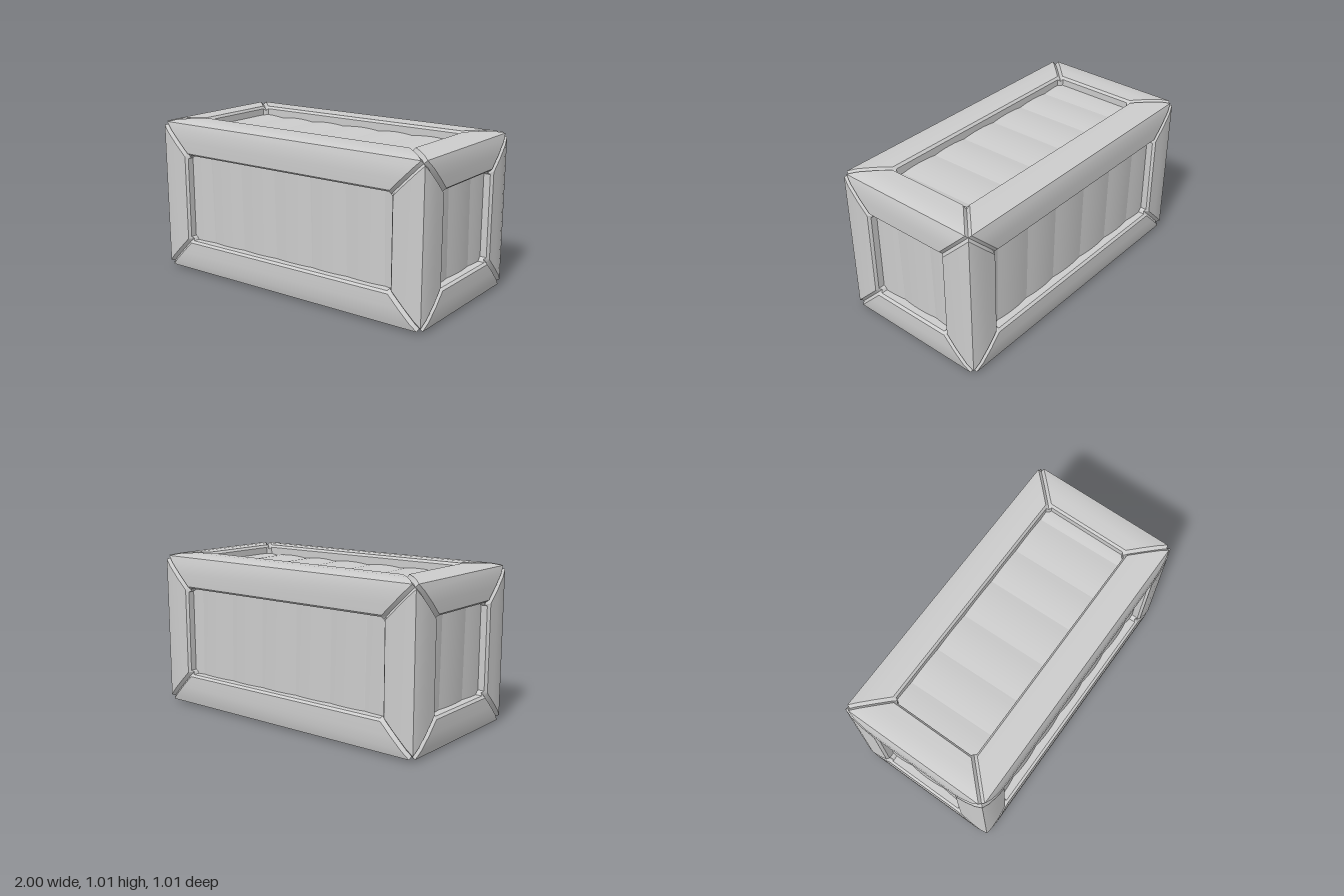
import * as THREE from 'three';
import { toCreasedNormals } from 'three/addons/utils/BufferGeometryUtils.js';

const HALF = [1, 0.506, 0.506]; // half sizes of the crate

// Half cross-sections of a beam: depths below the two outer faces,
// from the opening wall out to the crate edge
const BODY = [[0.217, 0.1], [0.217, 0.018], [0.204, 0.002], [0.13, 0], [0.06, 0.004], [0.016, 0.016]];
const END = [[0.232, 0.1], [0.232, 0.03], [0.206, 0.022], [0.13, 0.022], [0.06, 0.025], [0.034, 0.034]];
const GROOVE = 0.025; // half width of the mitre groove, along the beam

const wholeSection = half => [...half, ...half.slice(0, -1).reverse().map(([a, b]) => [b, a])];

// Skin a grid of points (rows of equal length) with quads
function skin(rows, flip, crease) {
  const n = rows[0].length, index = [];
  for (let r = 0; r < rows.length - 1; r++) {
    for (let s = 0; s < n - 1; s++) {
      const p = r * n + s, q = p + n;
      if (flip) index.push(p, p + 1, q, p + 1, q + 1, q);
      else index.push(p, q, p + 1, p + 1, q, q + 1);
    }
  }
  const g = new THREE.BufferGeometry();
  g.setAttribute('position', new THREE.Float32BufferAttribute(rows.flat(2), 3));
  g.setIndex(index);
  return toCreasedNormals(g, crease);
}

// Mitred beam along axis k on the crate edge picked by signs si, sj
function beamGeometry(k, si, sj) {
  const i = (k + 1) % 3, j = (k + 2) % 3;
  const ring = (half, side, gap) => wholeSection(half).map(([a, b]) => {
    const p = [0, 0, 0];
    p[k] = side * (HALF[k] - Math.max(a, b) - gap);
    p[i] = si * (HALF[i] - a);
    p[j] = sj * (HALF[j] - b);
    return p;
  });
  const rows = [ring(END, -1, 0), ring(BODY, -1, GROOVE), ring(BODY, 1, GROOVE), ring(END, 1, 0)];
  return skin(rows, si * sj < 0, 0.5);
}

// Slightly domed plank between two seams, facing +z; lean shifts its lower end
function plankGeometry(x0, x1, halfHeight, lean) {
  const steps = 6;
  const row = side => Array.from({ length: steps + 1 }, (_, s) => {
    const u = s / steps;
    const dome = 0.01 * (1 - (2 * u - 1) ** 2);
    return [x0 + (x1 - x0) * u - side * lean, side * halfHeight, dome - 0.07];
  });
  return skin([row(1), row(-1)], false, 0.5);
}

export function createModel() {
  const crate = new THREE.Group();
  crate.name = 'crate';
  const grey = new THREE.MeshStandardMaterial({ color: 0xcccccc });
  grey.name = 'plain grey';

  const body = new THREE.Group();
  body.name = 'crateBody';
  body.position.y = HALF[1];
  crate.add(body);

  // Twelve frame beams
  const beamNames = ['longBeam', 'uprightBeam', 'endBeam'];
  for (let k = 0; k < 3; k++) {
    for (const si of [-1, 1]) for (const sj of [-1, 1]) {
      const beam = new THREE.Mesh(beamGeometry(k, si, sj), grey);
      beam.name = beamNames[k];
      body.add(beam);
    }
  }

  // Six recessed plank panels
  const longSeams = [-0.88, -0.62, -0.365, -0.097, 0.18, 0.437, 0.705, 0.88];
  const endSeams = [-0.38, -0.12, 0.14, 0.38];
  const mirrored = seams => seams.map(x => -x).reverse();
  const H = Math.PI / 2;
  const panels = [
    ['frontPanel', longSeams, 1, [0, 0, 0], [0, 0, HALF[2]]],
    ['backPanel', mirrored(longSeams), -1, [0, Math.PI, 0], [0, 0, -HALF[2]]],
    ['topPanel', longSeams, 1, [-H, 0, 0], [0, HALF[1], 0]],
    ['bottomPanel', longSeams, -1, [H, 0, 0], [0, -HALF[1], 0]],
    ['leftPanel', endSeams, 1, [0, H, 0], [HALF[0], 0, 0]],
    ['rightPanel', mirrored(endSeams), -1, [0, -H, 0], [-HALF[0], 0, 0]],
  ];
  for (const [name, seams, lean, turn, place] of panels) {
    const panel = new THREE.Group();
    panel.name = name;
    panel.rotation.set(...turn);
    panel.position.set(...place);
    for (let s = 0; s < seams.length - 1; s++) {
      const plank = new THREE.Mesh(plankGeometry(seams[s], seams[s + 1], 0.36, lean * 0.008), grey);
      plank.name = 'plank';
      panel.add(plank);
    }
    body.add(panel);
  }
  return crate;
}
